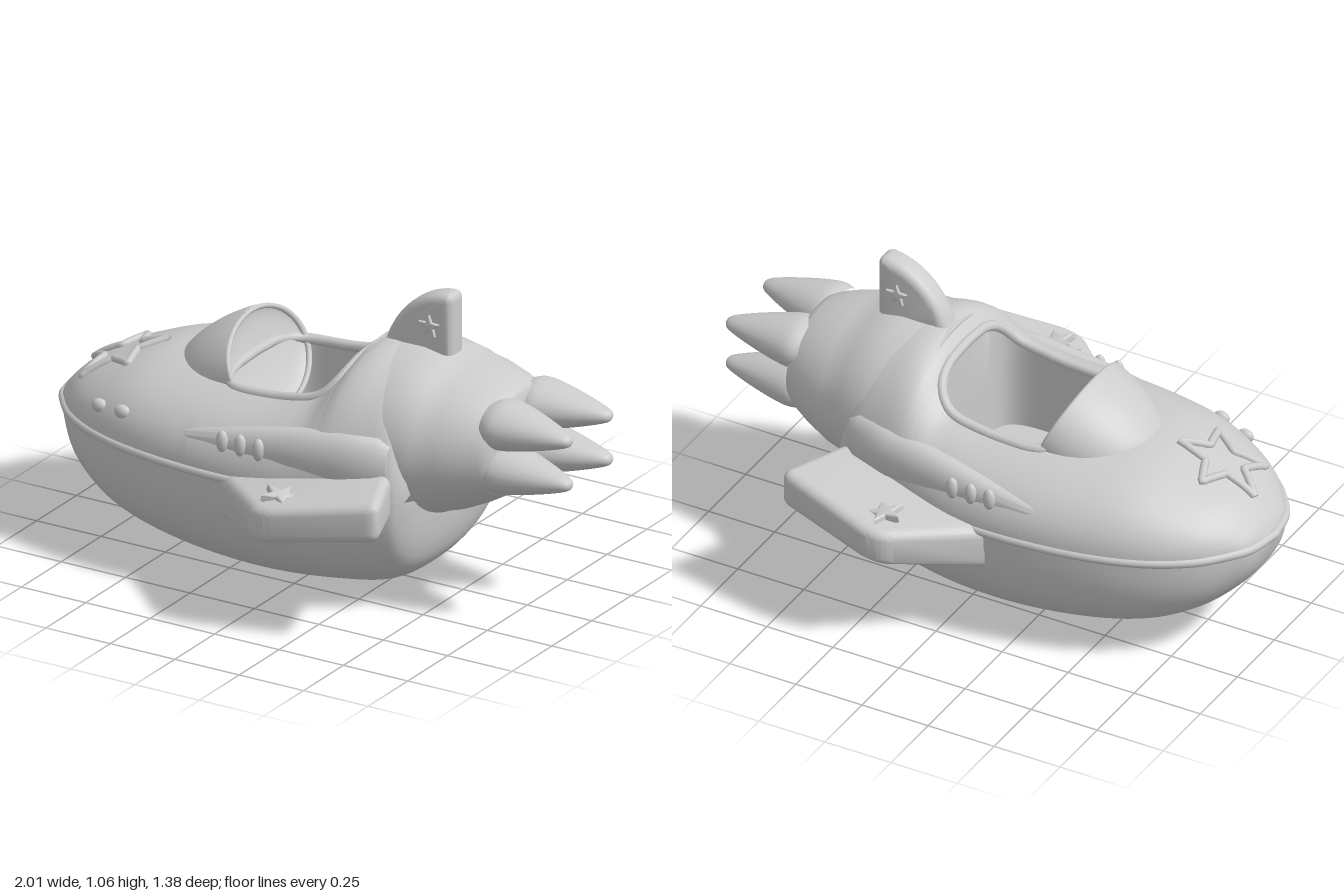
import * as THREE from 'three';
import { toCreasedNormals } from 'three/addons/utils/BufferGeometryUtils.js';

const BELT = 0.42;
const FLOOR = 0.36;
const V = (x, y, z) => new THREE.Vector3(x, y, z);

// Smooth curve through [x, value] pairs
function curve(pts) {
  const slope = (i) => {
    const a = pts[Math.max(i - 1, 0)], b = pts[Math.min(i + 1, pts.length - 1)];
    return (b[1] - a[1]) / (b[0] - a[0]);
  };
  return (x) => {
    let i = 0;
    while (i < pts.length - 2 && x > pts[i + 1][0]) i++;
    const h = pts[i + 1][0] - pts[i][0], t = (x - pts[i][0]) / h, t2 = t * t, t3 = t2 * t;
    return pts[i][1] * (2 * t3 - 3 * t2 + 1) + pts[i + 1][1] * (3 * t2 - 2 * t3)
      + h * (slope(i) * (t3 - 2 * t2 + t) + slope(i + 1) * (t3 - t2));
  };
}

// Hull profiles along x: half width, deck height, keel height
const halfWidth = curve([[-1, 0], [-0.98, 0.11], [-0.94, 0.18], [-0.85, 0.28], [-0.7, 0.37], [-0.5, 0.43],
  [-0.25, 0.46], [0, 0.455], [0.2, 0.42], [0.35, 0.385], [0.44, 0.36], [0.47, 0.32]]);
const deckTop = curve([[-1, 0.42], [-0.97, 0.47], [-0.88, 0.55], [-0.75, 0.61], [-0.6, 0.66], [-0.4, 0.675],
  [-0.1, 0.69], [0.02, 0.71], [0.1, 0.74], [0.16, 0.8], [0.2, 0.85], [0.3, 0.86], [0.42, 0.8], [0.47, 0.6]]);
const keel = curve([[-1, 0.41], [-0.97, 0.31], [-0.9, 0.22], [-0.8, 0.14], [-0.65, 0.07], [-0.4, 0.02],
  [-0.1, 0], [0.2, 0.02], [0.35, 0.055], [0.43, 0.13], [0.46, 0.22], [0.47, 0.3]]);

const N = 2.2;
const deckY = (x, z) => {
  const k = Math.min(Math.abs(z) / Math.max(halfWidth(x), 1e-4), 1);
  return BELT + (deckTop(x) - BELT) * Math.pow(1 - Math.pow(k, N), 1 / N);
};
// Half width of the cockpit opening, a rounded rectangle
const openingAt = (x) => {
  const u = Math.min(Math.abs((x + 0.07) / 0.23), 1);
  return 0.24 * Math.pow(1 - Math.pow(u, 5), 0.2);
};

// Skin over rings of points, each ring running from +z over the top to -z
function loft(rings, cap = true) {
  const all = rings.slice();
  if (cap) {
    const mid = (r) => {
      const c = r.reduce((s, p) => s.add(p), V(0, 0, 0)).divideScalar(r.length);
      return r.map(() => c);
    };
    all.unshift(mid(rings[0]));
    all.push(mid(rings[rings.length - 1]));
  }
  const n = all[0].length, idx = [];
  for (let i = 0; i < all.length - 1; i++) {
    for (let j = 0; j < n - 1; j++) {
      const a = i * n + j, b = a + n;
      idx.push(a, b, b + 1, a, b + 1, a + 1);
    }
  }
  const g = new THREE.BufferGeometry().setFromPoints(all.flat());
  g.setIndex(idx);
  return toCreasedNormals(g, 0.7);
}

function ellipseRing([x, y, z, hy, hz], n = 40) {
  return Array.from({ length: n + 1 }, (_, i) => {
    const a = (i % n) / n * Math.PI * 2;
    return V(x, y + hy * Math.sin(a), z + hz * Math.cos(a));
  });
}

function upperRing(x) {
  const w = halfWidth(x), c = Math.min(openingAt(x), w), half = [];
  const a1 = w > 0 ? Math.acos(Math.pow(c / w, N / 2)) : Math.PI / 2;
  for (let i = 0; i <= 18; i++) {
    const z = w * Math.pow(Math.max(Math.cos(a1 * i / 18), 0), 2 / N);
    half.push(V(x, deckY(x, z), z));
  }
  // Cockpit wall and floor, collapsed where there is no opening
  const rim = deckY(x, c), inside = x >= -0.3 && x <= 0.16;
  for (const t of [0.5, 1]) half.push(V(x, inside ? rim + (FLOOR - rim) * t : rim, c));
  half.push(V(x, inside ? FLOOR : rim, 0));
  return half.concat(half.slice(0, -1).reverse().map((p) => V(p.x, p.y, -p.z)));
}

function lowerRing(x) {
  const w = halfWidth(x), h = BELT - keel(x);
  return Array.from({ length: 41 }, (_, i) => {
    const a = i / 40 * Math.PI, c = Math.cos(a);
    return V(x, BELT - h * Math.pow(Math.abs(Math.sin(a)), 2 / 2.6),
      -w * Math.sign(c) * Math.pow(Math.abs(c), 2 / 2.6));
  });
}

function starPoints(r, n = 5) {
  return Array.from({ length: n * 2 }, (_, i) => {
    const a = i / n * Math.PI + Math.PI / 2, q = i % 2 ? r * 0.45 : r;
    return new THREE.Vector2(Math.cos(a) * q, Math.sin(a) * q);
  });
}

// Rounded plate drawn in xy, centred on its thickness
function plate(shape, thickness, bevel) {
  const g = new THREE.ExtrudeGeometry(shape, { depth: thickness - 2 * bevel, bevelThickness: bevel,
    bevelSize: bevel, bevelOffset: -bevel, bevelSegments: 5, curveSegments: 16 });
  g.translate(0, 0, bevel - thickness / 2);
  return toCreasedNormals(g, 0.7);
}

export function createModel() {
  const model = new THREE.Group();
  const grey = new THREE.MeshStandardMaterial({ color: 0xcccccc });
  const twoSided = new THREE.MeshStandardMaterial({ color: 0xcccccc, side: THREE.DoubleSide });
  const add = (name, geometry, material = grey) => {
    const m = new THREE.Mesh(geometry, material);
    m.name = name;
    model.add(m);
    return m;
  };
  const tube = (name, pts, r, closed, tension = 0.5) => add(name, new THREE.TubeGeometry(
    new THREE.CatmullRomCurve3(pts, closed, 'catmullrom', tension), 140, r, 10, closed));

  // Hull: stations packed at the nose, the cockpit ends and the stern
  const xs = [];
  for (let i = 0; i < 26; i++) xs.push(-1 + 0.699 * (i / 25) ** 2);
  for (let i = 0; i <= 44; i++) xs.push(-0.07 - 0.23 * Math.cos(i / 44 * Math.PI));
  xs[26] = -0.3; xs[70] = 0.16;
  for (let i = 0; i <= 18; i++) xs.push(0.161 + 0.309 * Math.sin(i / 18 * Math.PI / 2));
  add('upperHull', loft(xs.map(upperRing)), twoSided);
  add('lowerHull', loft(xs.map(lowerRing)));
  const belt = [];
  for (let i = -30; i <= 30; i++) {
    const x = -1 + 1.3 * (i / 30) ** 2;
    belt.push(V(x, BELT, Math.sign(i) * (halfWidth(x) - 0.006)));
  }
  tube('beltRidge', belt, 0.016, false);

  // Cockpit rim
  tube('cockpitRim', Array.from({ length: 64 }, (_, i) => {
    const a = i / 64 * Math.PI * 2, p = (v) => Math.sign(v) * Math.pow(Math.abs(v), 0.4);
    const x = -0.07 + 0.235 * p(Math.cos(a)), z = 0.247 * p(Math.sin(a));
    return V(x, deckY(x, z) - 0.004, z);
  }), 0.018, true);

  // Windshield: tilted half ellipsoid with a dished rear face
  const shield = new THREE.Group();
  shield.name = 'windshield';
  const dome = (name, sx, sy, sz, material) => {
    const g = new THREE.SphereGeometry(1, 48, 20, 0, Math.PI * 2, 0, Math.PI / 2);
    g.rotateZ(Math.PI / 2);
    g.scale(sx, sy, sz);
    const m = new THREE.Mesh(g, material);
    m.name = name;
    shield.add(m);
  };
  dome('shieldDome', 0.36, 0.18, 0.24, grey);
  dome('shieldDish', 0.035, 0.17, 0.23, twoSided);
  const rim = new THREE.TorusGeometry(1, 0.05, 10, 56);
  rim.rotateY(Math.PI / 2);
  rim.scale(0.2, 0.17, 0.23);
  shield.add(new THREE.Mesh(rim, grey));
  shield.children[2].name = 'shieldRim';
  shield.position.set(-0.255, 0.66, 0);
  shield.rotation.z = 0.42;
  model.add(shield);

  // Rear fuselage
  add('fuselage', loft([[0.2, 0.575, 0.28, 0.32], [0.28, 0.575, 0.288, 0.332], [0.38, 0.577, 0.287, 0.333],
    [0.48, 0.57, 0.276, 0.32], [0.49, 0.57, 0.269, 0.314], [0.56, 0.575, 0.252, 0.3], [0.64, 0.583, 0.222, 0.268],
    [0.7, 0.59, 0.194, 0.238], [0.722, 0.594, 0.178, 0.224], [0.732, 0.596, 0.16, 0.2]]
    .map(([x, y, hy, hz]) => ellipseRing([x, y, 0, hy, hz], 56))));

  // Four exhaust spikes
  const spike = [[0.1, 0], [0.112, 0.04], [0.1, 0.1], [0.078, 0.17], [0.052, 0.24], [0.03, 0.288], [0.015, 0.302], [0, 0.305]];
  for (const sy of [-1, 1]) {
    for (const sz of [-1, 1]) {
      const g = new THREE.LatheGeometry(new THREE.SplineCurve(spike.map((p) => new THREE.Vector2(...p))).getPoints(24), 28);
      g.rotateZ(-Math.PI / 2);
      g.scale(1, 0.75, 1);
      const m = add('exhaustSpike', g);
      m.position.set(0.695, 0.607 + sy * 0.078, sz * 0.107);
      m.rotation.y = -sz * 0.07;
    }
  }

  // Tail fin
  const fin = new THREE.Shape();
  fin.moveTo(0.2, 0.8);
  fin.lineTo(0.225, 0.87);
  fin.bezierCurveTo(0.27, 0.98, 0.35, 1.05, 0.45, 1.06);
  fin.quadraticCurveTo(0.48, 1.062, 0.48, 1.03);
  fin.lineTo(0.48, 0.8);
  add('tailFin', plate(fin, 0.095, 0.03));

  for (const s of [-1, 1]) {
    // Wings, rising toward the stern
    const shape = new THREE.Shape();
    shape.moveTo(-0.16, s * 0.25);
    shape.lineTo(-0.16, s * 0.46);
    shape.lineTo(0.07, s * 0.655);
    shape.quadraticCurveTo(0.11, s * 0.7, 0.19, s * 0.687);
    shape.lineTo(0.49, s * 0.61);
    shape.quadraticCurveTo(0.54, s * 0.6, 0.525, s * 0.56);
    shape.lineTo(0.44, s * 0.36);
    shape.lineTo(0.4, s * 0.25);
    const g = plate(shape, 0.15, 0.035);
    g.rotateX(Math.PI / 2);
    const p = g.attributes.position;
    const rise = (x) => 0.35 + 0.15 * (x + 0.16);
    for (let i = 0; i < p.count; i++) {
      const taper = 1.1 - 0.9 * Math.max(Math.abs(p.getZ(i)) - 0.4, 0);
      p.setY(i, p.getY(i) * taper + rise(p.getX(i)));
    }
    g.computeVertexNormals();
    add('wing', toCreasedNormals(g, 0.7));

    // Raised stars on wing and fin
    const wingStar = add('wingStar', plate(new THREE.Shape(starPoints(0.07)), 0.03, 0.01));
    wingStar.rotation.set(-Math.PI / 2, 0.15, 0);
    wingStar.position.set(0.15, 0.465, s * 0.58);
    add('finStar', plate(new THREE.Shape(starPoints(0.042)), 0.02, 0.006)).position.set(0.4, 0.94, s * 0.047);

    // Side fairing with three small windows
    add('sideFairing', loft([[-0.42, 0.51, 0.4, 0.01, 0.01], [-0.3, 0.515, 0.4, 0.035, 0.03],
      [-0.1, 0.525, 0.39, 0.065, 0.05], [0.08, 0.535, 0.375, 0.088, 0.06], [0.25, 0.54, 0.355, 0.1, 0.066],
      [0.38, 0.54, 0.33, 0.098, 0.06], [0.42, 0.535, 0.315, 0.08, 0.045]]
      .map(([x, y, z, hy, hz]) => ellipseRing([x, y, s * z, hy, hz]))));
    for (const x of [-0.165, -0.095, -0.025]) {
      const win = add('sideWindow', new THREE.SphereGeometry(1, 16, 12));
      win.scale.set(0.022, 0.04, 0.018);
      win.position.set(x, 0.54, s * 0.436);
    }
  }

  // Raised star outline and two studs on the nose
  const pts = starPoints(0.15);
  tube('noseStar', pts.flatMap((a, i) => [0, 0.2, 0.4, 0.6, 0.8].map((t) => {
    const q = a.clone().lerp(pts[(i + 1) % pts.length], t);
    const x = -0.77 + q.x, z = 0.07 - q.y;
    return V(x, deckY(x, z) + 0.003, z);
  })), 0.014, true);
  for (const [x, z] of [[-0.7, 0.34], [-0.59, 0.375]]) {
    const stud = add('noseStud', new THREE.SphereGeometry(1, 16, 12));
    stud.scale.set(0.03, 0.025, 0.02);
    stud.position.set(x, deckY(x, z), z);
  }
  return model;
}
